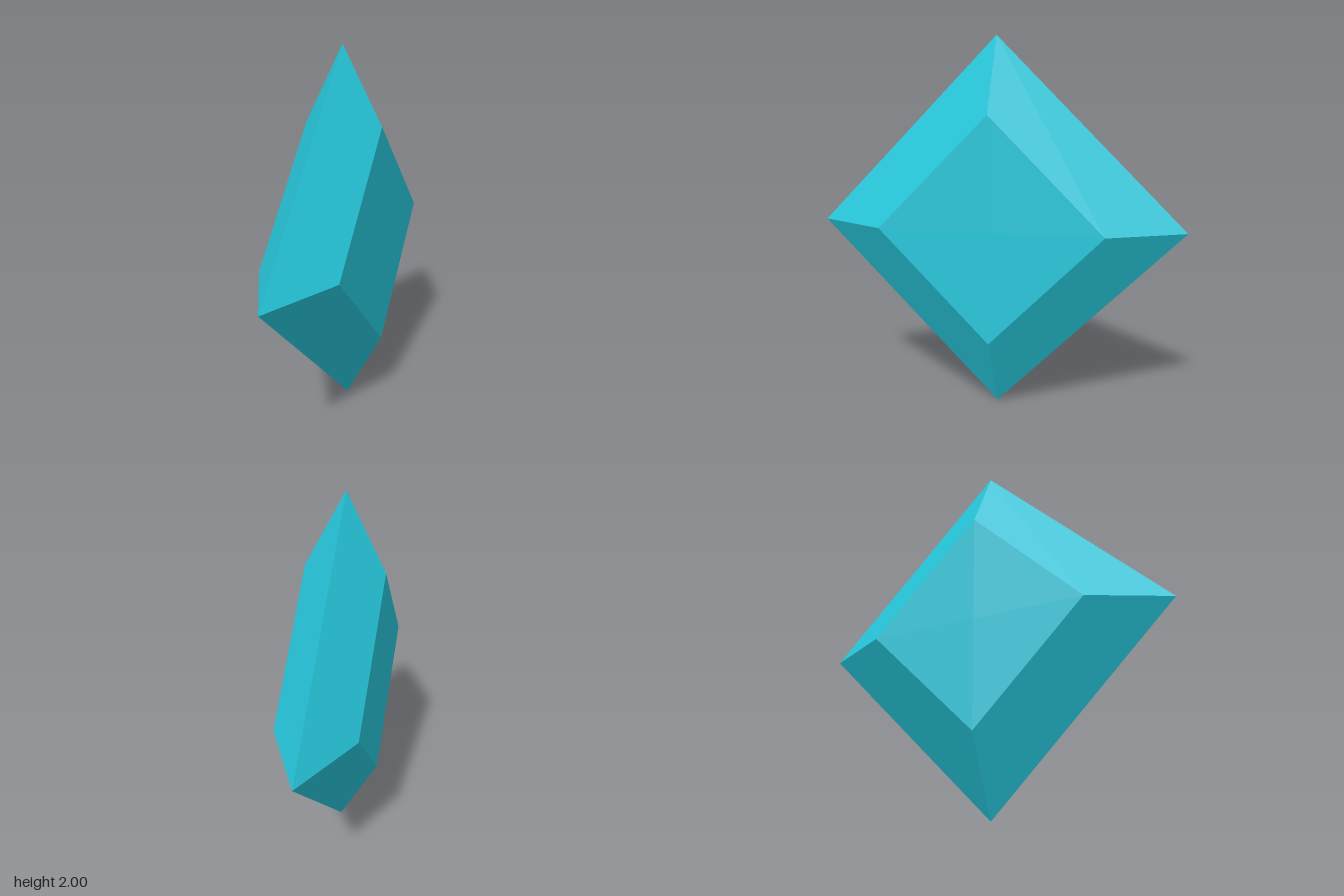
import * as THREE from 'three';

export function createModel() {
  const group = new THREE.Group();
  const cyan = new THREE.MeshStandardMaterial({ color: 0x26c6da });
  cyan.name = 'cyan';

  // Four-sided gem: flat table, bevel out to a sharp girdle, bevel back, flat table
  const tableRadius = 0.6, girdleRadius = 1, halfDepth = 0.207;
  const profile = [
    [0, -halfDepth], [tableRadius, -halfDepth], [girdleRadius, 0],
    [tableRadius, halfDepth], [0, halfDepth],
  ].map(([r, h]) => new THREE.Vector2(r, h));

  // Turn the axis to x, then split the faces for flat facets
  const geometry = new THREE.LatheGeometry(profile, 4)
    .rotateZ(-Math.PI / 2)
    .toNonIndexed();
  geometry.computeVertexNormals();

  // The gem stands on one corner with a very slight tilt
  const gem = new THREE.Mesh(geometry, cyan);
  gem.name = 'gem';
  gem.rotation.set(0.006, -0.0125, 0.0125);
  gem.position.y = 1;
  group.add(gem);
  return group;
}
